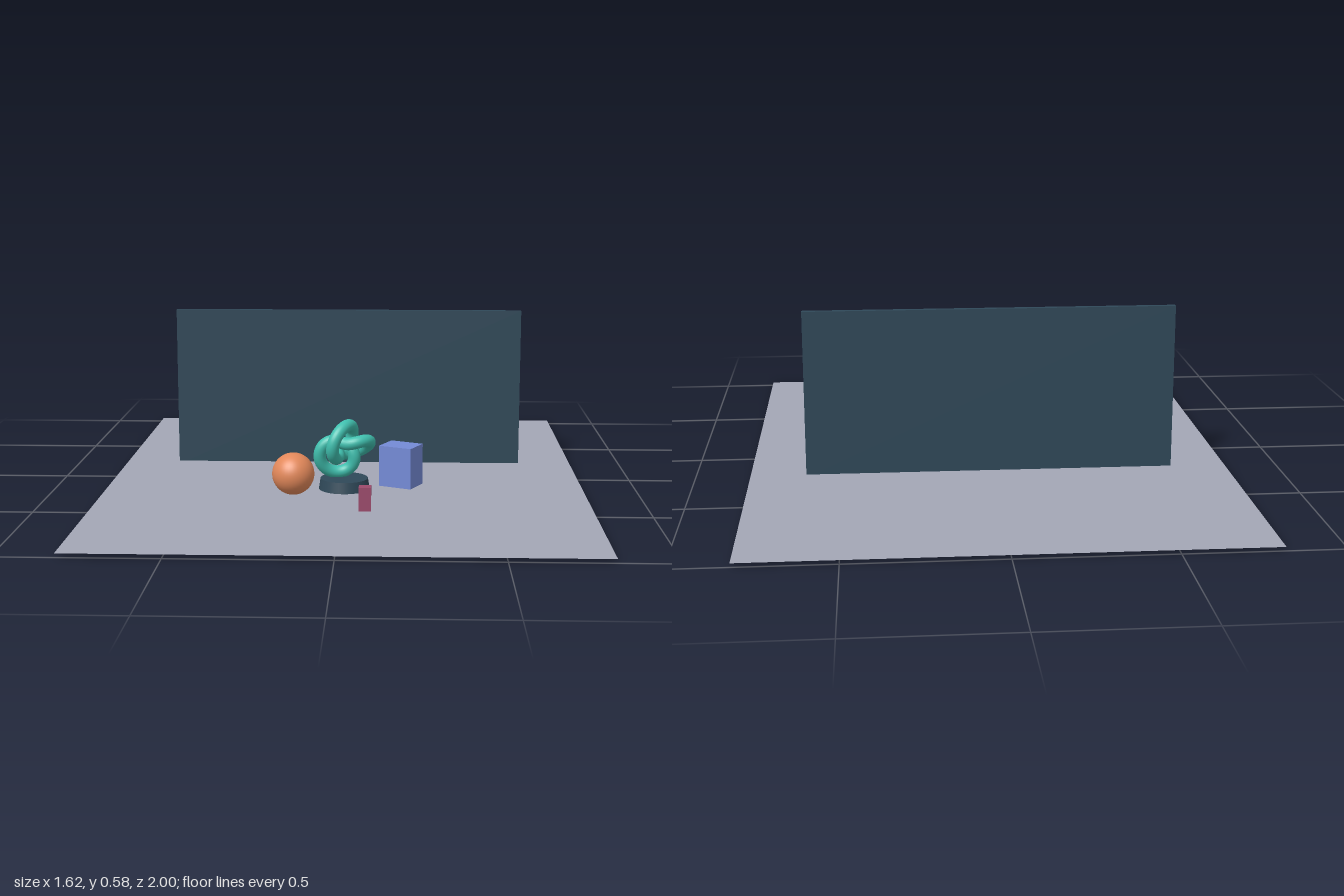
import * as THREE from 'three';

const mat = (name, color, side = THREE.FrontSide) => {
  const m = new THREE.MeshStandardMaterial({ color, side });
  m.name = name;
  return m;
};

export function createModel() {
  const group = new THREE.Group();
  const slate = mat('slate', 0x2f4858);
  const floorY = 0.0125;

  const add = (name, geometry, material, x, y, z) => {
    const mesh = new THREE.Mesh(geometry, material);
    mesh.name = name;
    mesh.position.set(x, y, z);
    group.add(mesh);
    return mesh;
  };

  // Floor sheet; the wall reaches slightly below it
  const floor = new THREE.PlaneGeometry(1.625, 2).rotateX(-Math.PI / 2);
  add('floor', floor, mat('pale grey', 0xa3a6b5, THREE.DoubleSide), 0, floorY, 0);
  add('backWall', new THREE.BoxGeometry(1.25, 0.576, 0.019), slate, 0, 0.288, -0.2125);

  // Pedestal with the knot sculpture above it
  add('pedestal', new THREE.CylinderGeometry(0.081, 0.087, 0.037, 32), slate, 0, floorY + 0.0185, 0.194);
  const knot = add('knot', new THREE.TorusKnotGeometry(0.0625, 0.0215, 160, 24),
    mat('teal', 0x40bfae), 0, 0.15, 0.19);
  // Tilt: one lobe points right and back, the knot's axis points right, down and forward
  const axis = new THREE.Vector3(0.5, -0.5, 0.7).normalize();
  const up = axis.clone().cross(new THREE.Vector3(0.82, -0.02, -0.6)).normalize();
  const lobe = up.clone().cross(axis);
  knot.quaternion.setFromRotationMatrix(new THREE.Matrix4().makeBasis(lobe, up, axis));

  // Objects standing around the pedestal
  add('ball', new THREE.SphereGeometry(0.071, 40, 28), mat('orange', 0xe2885a), -0.168, floorY + 0.072, 0.287);
  const block = add('block', new THREE.BoxGeometry(0.12, 0.141, 0.098),
    mat('periwinkle', 0x748ad6), 0.193, floorY + 0.0705, 0.138);
  block.rotation.y = -0.45;
  add('smallBlock', new THREE.BoxGeometry(0.04, 0.078, 0.04), mat('plum', 0x9c4a6c), 0.077, floorY + 0.039, 0.482);

  return group;
}
